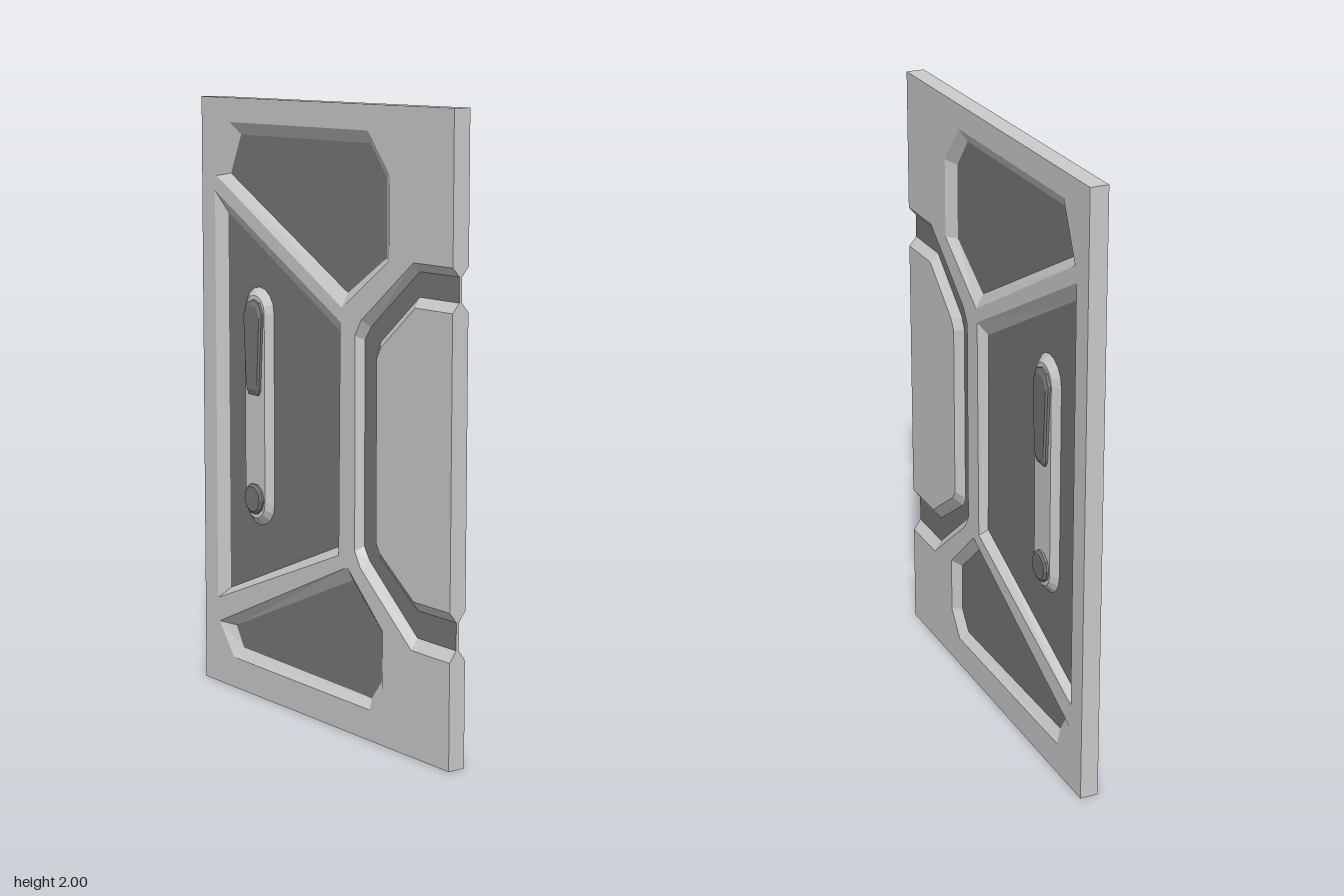
import * as THREE from 'three';
import { mergeGeometries } from 'three/addons/utils/BufferGeometryUtils.js';

const HALF_W = 0.667, FACE = 0.03, FLOOR = 0.005;
const grey = new THREE.MeshStandardMaterial({ color: 0xcccccc, flatShading: true });
const dark = new THREE.MeshStandardMaterial({ color: 0x777777, flatShading: true });

const toShape = pts => new THREE.Shape(pts.map(p => new THREE.Vector2(...p)));

// Flat polygon at height z, facing +z
function face(pts, z, holes = []) {
  const s = toShape(pts);
  s.holes = holes.map(toShape);
  const g = new THREE.ShapeGeometry(s).toNonIndexed().translate(0, 0, z);
  g.deleteAttribute('uv');
  return g;
}

// Band of quads between two matching counter-clockwise outlines
function band(a, za, b, zb, closed = true) {
  const pos = [], n = a.length;
  for (let i = 0; i < (closed ? n : n - 1); i++) {
    const j = (i + 1) % n;
    const A = [...a[i], za], B = [...a[j], za], C = [...b[j], zb], D = [...b[i], zb];
    pos.push(...A, ...B, ...C, ...A, ...C, ...D);
  }
  const g = new THREE.BufferGeometry();
  g.setAttribute('position', new THREE.Float32BufferAttribute(pos, 3));
  g.computeVertexNormals();
  return g;
}

// Mirror a front geometry to the back, reversing the corner order
function mirrorZ(geo) {
  const g = geo.clone(), p = g.attributes.position;
  for (let i = 0; i < p.count; i += 3) {
    [0, 2, 1].forEach((k, m) => {
      const s = geo.attributes.position;
      p.setXYZ(i + m, s.getX(i + k), s.getY(i + k), -s.getZ(i + k));
    });
  }
  g.computeVertexNormals();
  return g;
}

const scaled = (pts, k, cx, cy) => pts.map(([x, y]) => [cx + (x - cx) * k, cy + (y - cy) * k]);

function stadium(cx, y0, y1, r, n = 8) {
  const pts = [];
  for (const [cy, start] of [[y1, 0], [y0, Math.PI]])
    for (let i = 0; i <= n; i++) {
      const t = start + Math.PI * i / n;
      pts.push([cx + r * Math.cos(t), cy + r * Math.sin(t)]);
    }
  return pts;
}

// Raised block with vertical sides and a chamfered top
const block = (pts, k, cx, cy, z0, z1, z2) => {
  const top = scaled(pts, k, cx, cy);
  return mergeGeometries([band(pts, z0, pts, z1), band(pts, z1, top, z2), face(top, z2)]);
};

// Recessed panels: rim on the face and smaller floor outline
const panels = {
  upperPanel: {
    rim: [[-0.58, 1.74], [0.12, 1.365], [0.36, 1.53], [0.36, 1.79], [0.25, 1.92], [-0.5, 1.92]],
    floor: [[-0.53, 1.75], [0.12, 1.41], [0.317, 1.535], [0.317, 1.78], [0.235, 1.88], [-0.47, 1.88]],
  },
  middlePanel: {
    rim: [[-0.59, 0.295], [0.105, 0.57], [0.112, 1.32], [-0.59, 1.69]],
    floor: [[-0.548, 0.335], [0.085, 0.595], [0.08, 1.285], [-0.548, 1.62]],
  },
  lowerPanel: {
    rim: [[-0.58, 0.215], [-0.495, 0.105], [0.27, 0.1], [0.335, 0.185], [0.335, 0.37], [0.15, 0.54]],
    floor: [[-0.515, 0.21], [-0.47, 0.14], [0.25, 0.13], [0.3, 0.195], [0.3, 0.36], [0.15, 0.495]],
  },
};

// Channel around the side plate: outer rim, floor edges, plate edge
const channel = [
  [[HALF_W, 1.535], [0.48, 1.535], [0.22, 1.335], [0.19, 1.285], [0.19, 0.6], [0.22, 0.55], [0.48, 0.34], [HALF_W, 0.34]],
  [[HALF_W, 1.507], [0.48, 1.507], [0.24, 1.315], [0.208, 1.27], [0.208, 0.615], [0.235, 0.575], [0.48, 0.375], [HALF_W, 0.375]],
  [[HALF_W, 1.43], [0.48, 1.43], [0.29, 1.275], [0.27, 1.235], [0.27, 0.63], [0.29, 0.595], [0.48, 0.462], [HALF_W, 0.462]],
  [[HALF_W, 1.4], [0.49, 1.4], [0.32, 1.26], [0.3, 1.225], [0.3, 0.645], [0.32, 0.615], [0.49, 0.495], [HALF_W, 0.495]],
];

export function createModel() {
  const model = new THREE.Group();
  model.name = 'doorPanel';
  const add = (name, geo, mat) => {
    const m = new THREE.Mesh(geo, mat);
    m.name = name;
    model.add(m);
  };
  const both = (name, geo, mat) => {
    add(name + 'Front', geo, mat);
    add(name + 'Back', mirrorZ(geo), mat);
  };

  // Frame face with the channel notched out of its right-hand edge
  const outline = [[HALF_W, 2], [-HALF_W, 2], [-HALF_W, 0], [HALF_W, 0]];
  const frame = [...outline, ...[...channel[0]].reverse()];
  both('frame', face(frame, FACE, Object.values(panels).map(p => p.rim)), grey);

  // Sloped rims and dark floors of the recessed panels
  for (const [name, p] of Object.entries(panels)) {
    both(name + 'Rim', band(p.rim, FACE, p.floor, FLOOR), grey);
    both(name + 'Floor', face(p.floor, FLOOR), dark);
  }

  // Channel and the side plate inside it
  const [c0, c1, c2, c3] = channel;
  both('channelRim', band(c0, FACE, c1, FLOOR, false), grey);
  both('channelFloor', band(c1, FLOOR, c2, FLOOR, false), dark);
  both('sidePlate', mergeGeometries([band(c2, FLOOR, c3, FACE, false), face(c3, FACE)].map(g => {
    g.computeVertexNormals();
    return g;
  })), grey);

  // Outer edges; the channel side has a notched profile
  add('outerEdge', band(outline, -FACE, outline, FACE, false), grey);
  const half = [[FACE, 0], ...[0, 1, 2, 3].map(i => {
    const c = channel[i];
    return [i % 3 ? FLOOR : FACE, c[c.length - 1][1]];
  }), ...[3, 2, 1, 0].map(i => [i % 3 ? FLOOR : FACE, channel[i][0][1]]), [FACE, 2]];
  const profile = [...half, ...half.map(([z, y]) => [-z, y]).reverse()];
  add('notchedEdge', face(profile, 0).rotateY(Math.PI / 2).translate(HALF_W, 0, 0), grey);

  // Handle plate with rounded ends
  const px = -0.367;
  const base = stadium(px, 0.667, 1.303, 0.082), top = stadium(px, 0.667, 1.303, 0.056);
  both('handlePlate', mergeGeometries([band(base, FLOOR, top, 0.026), face(top, 0.026)]), grey);

  // Tapered handle and round lock
  const handle = [[-0.392, 1.028], [-0.342, 1.028], [-0.332, 1.045], [-0.317, 1.3],
    [-0.335, 1.335], [px, 1.345], [-0.399, 1.335], [-0.417, 1.3], [-0.402, 1.045]];
  both('handle', block(handle, 0.88, px, 1.19, 0.02, 0.034, 0.04), dark);
  const lock = Array.from({ length: 10 }, (_, i) => {
    const t = i * Math.PI / 5;
    return [px + 0.052 * Math.cos(t), 0.677 + 0.052 * Math.sin(t)];
  });
  both('lock', block(lock, 0.83, px, 0.677, 0.02, 0.034, 0.04), dark);

  return model;
}
